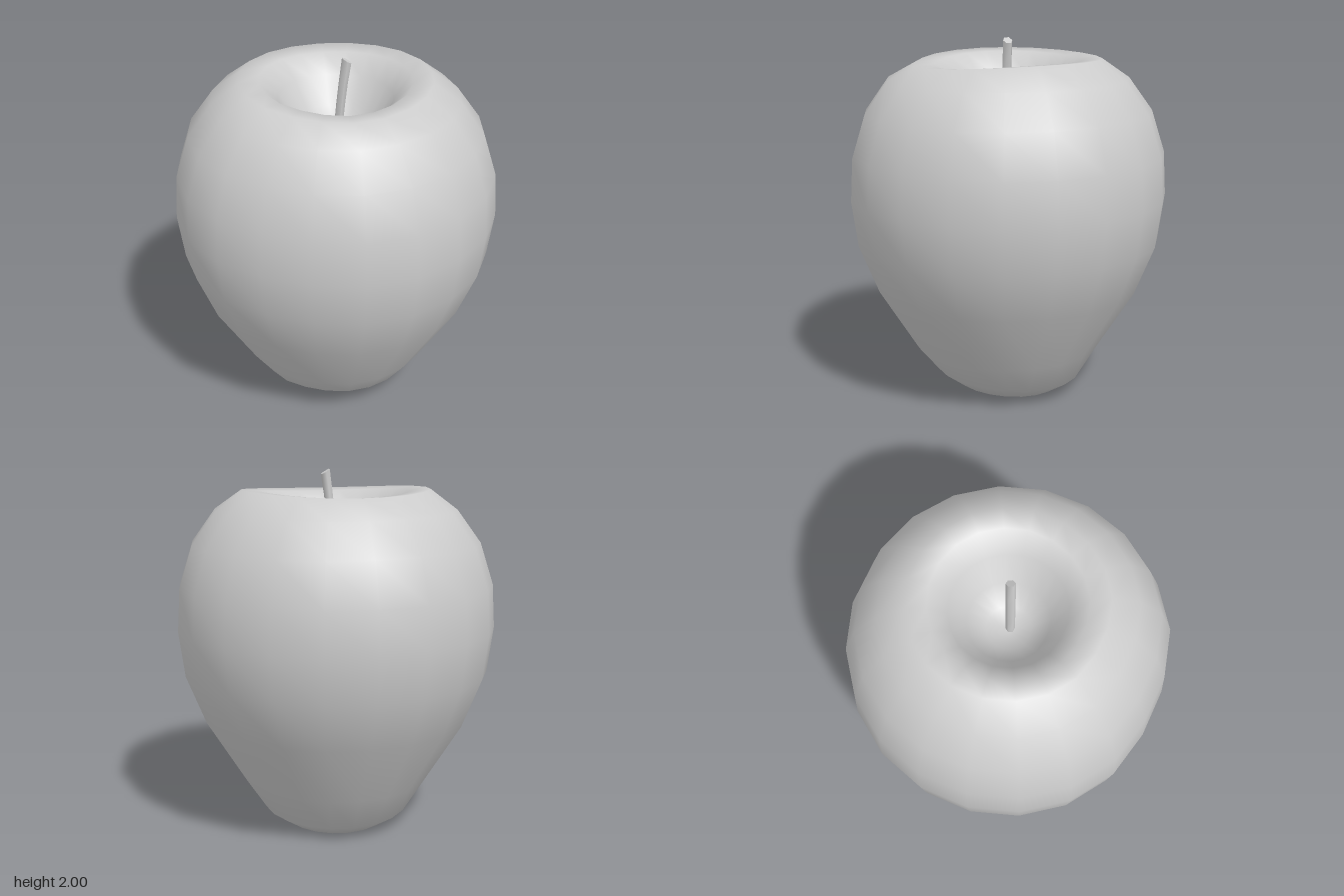
import * as THREE from 'three';
import { mergeVertices } from 'three/addons/utils/BufferGeometryUtils.js';

const grey = new THREE.MeshStandardMaterial({ color: 0xcccccc });
grey.name = 'plain grey';

// Moves every vertex by a rule, then rebuilds the normals.
function reshape(geometry, rule) {
  const pos = geometry.attributes.position;
  const v = new THREE.Vector3();
  for (let i = 0; i < pos.count; i++) {
    rule(v.fromBufferAttribute(pos, i));
    pos.setXYZ(i, v.x, v.y, v.z);
  }
  geometry.computeVertexNormals();
  return geometry;
}

function makeFruit() {
  // Half section: base hollow, body, rim, top hollow
  const profile = [
    [0, 0.13], [0.11, 0.115], [0.2, 0.06], [0.29, 0.02], [0.41, 0.1],
    [0.52, 0.26], [0.74, 0.61], [0.85, 0.88], [0.885, 1.13], [0.872, 1.37],
    [0.8, 1.6], [0.67, 1.78], [0.52, 1.87], [0.41, 1.86], [0.31, 1.78],
    [0.22, 1.63], [0.12, 1.54], [0, 1.51],
  ].map(([r, y]) => new THREE.Vector2(r, y));

  const lathe = new THREE.LatheGeometry(profile, 20);
  lathe.deleteAttribute('uv');
  lathe.deleteAttribute('normal');
  const geometry = mergeVertices(lathe, 1e-4);

  return reshape(geometry, (v) => {
    const r = Math.hypot(v.x, v.z);
    const angle = Math.atan2(v.x, v.z);
    // Slightly flatter at the front right
    const dent = 1 - 0.035 * Math.exp(-(((angle + 0.52) / 0.35) ** 2));
    v.x *= dent;
    v.z *= dent;
    // Uneven rim and tilted base
    if (v.y > 1.8) v.y += 0.022 * (v.x / r) ** 2 - 0.012 * (v.z / r);
    if (v.y < 0.15 && r > 0.15) v.y += 0.07 * v.z - 0.01 * v.x;
  });
}

function makeStem() {
  // Leaning stalk with a slanted cut at the tip
  const bottom = 1.49, top = 1.985;
  const geometry = new THREE.CylinderGeometry(0.026, 0.024, top - bottom, 6, 4);
  geometry.translate(0, (top + bottom) / 2, 0);
  return reshape(geometry, (v) => {
    const t = (v.y - bottom) / (top - bottom);
    if (t > 0.99) v.y -= v.x * 0.6;
    v.x += 0.005 + 0.025 * t + 0.025 * t * t;
    v.z += 0.008 + 0.005 * t;
  });
}

export function createModel() {
  const model = new THREE.Group();
  model.name = 'apple';
  for (const [name, geometry] of [['fruit', makeFruit()], ['stem', makeStem()]]) {
    const mesh = new THREE.Mesh(geometry, grey);
    mesh.name = name;
    model.add(mesh);
  }
  return model;
}
